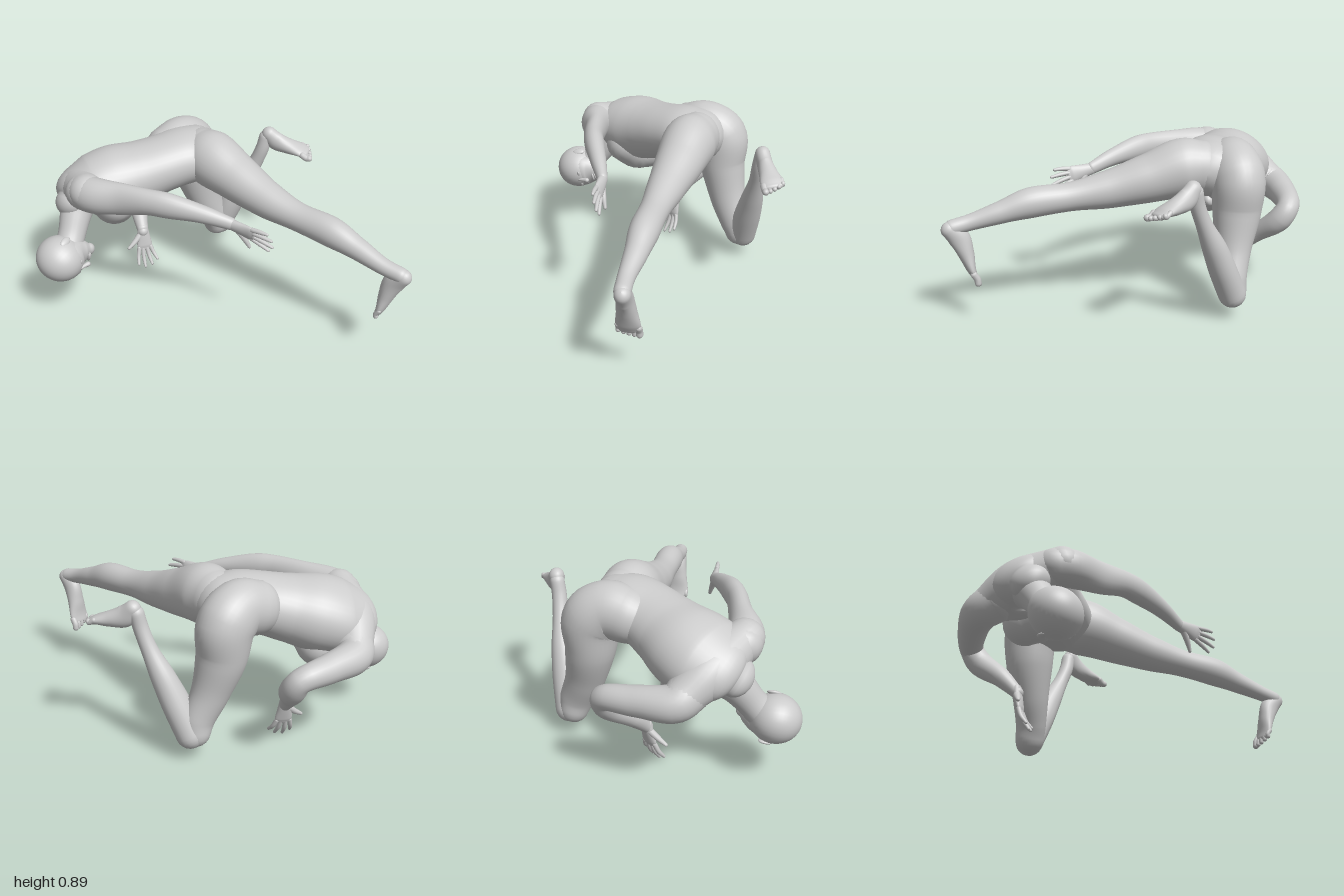
import * as THREE from 'three';

const V = (p) => new THREE.Vector3(p[0], p[1], p[2]);
const material = new THREE.MeshStandardMaterial({ color: 0xcccccc });

// Smooth tube with rounded ends; rows are [x, y, z, halfWidth, halfDepth]
function loft(name, rows, side0 = [0.1, 0.2, 1], side1 = side0, seg = 24, per = 7) {
  const path = new THREE.CatmullRomCurve3(rows.map(V), false, 'centripetal');
  const size = new THREE.CatmullRomCurve3(
    rows.map((r) => new THREE.Vector3(r[3], r[4] ?? r[3], 0)), false, 'catmullrom', 0.4);
  const steps = (rows.length - 1) * per, caps = 6, pos = [], idx = [];
  const ring = (t, k = 1, push = 0) => {
    const c = path.getPoint(t), T = path.getTangent(t), r = size.getPoint(t);
    const s = V(side0).lerp(V(side1), t);
    s.addScaledVector(T, -s.dot(T)).normalize();
    const n = T.clone().cross(s);
    c.addScaledVector(T, push * Math.min(r.x, r.y));
    for (let j = 0; j < seg; j++) {
      const a = (j / seg) * Math.PI * 2;
      const p = c.clone().addScaledVector(s, Math.cos(a) * r.x * k).addScaledVector(n, Math.sin(a) * r.y * k);
      pos.push(p.x, p.y, p.z);
    }
  };
  for (let i = 0; i < caps; i++) {
    const a = (i / caps) * Math.PI / 2;
    ring(0, Math.max(Math.sin(a), 0.01), -Math.cos(a));
  }
  for (let i = 0; i <= steps; i++) ring(i / steps);
  for (let i = caps - 1; i >= 0; i--) {
    const a = (i / caps) * Math.PI / 2;
    ring(1, Math.max(Math.sin(a), 0.01), Math.cos(a));
  }
  const rings = pos.length / 3 / seg;
  for (let i = 0; i < rings - 1; i++) for (let j = 0; j < seg; j++) {
    const a = i * seg + j, b = i * seg + (j + 1) % seg;
    idx.push(a, b, b + seg, a, b + seg, a + seg);
  }
  const g = new THREE.BufferGeometry();
  g.setAttribute('position', new THREE.Float32BufferAttribute(pos, 3));
  g.setIndex(idx);
  g.computeVertexNormals();
  const m = new THREE.Mesh(g, material);
  m.name = name;
  return m;
}

function ellipsoid(name, p, r) {
  const m = new THREE.Mesh(new THREE.SphereGeometry(1, 32, 24), material);
  m.name = name;
  m.position.set(...p);
  m.scale.set(...r);
  return m;
}

// Point reached from p by weighted steps along vectors
const at = (p, ...steps) => {
  const q = p.clone();
  for (const [v, k] of steps) q.addScaledVector(v, k);
  return q.toArray();
};

// Open hand: flat palm, four fanned fingers and a thumb on the "across" side
function hand(name, wristAt, along, thumbSide, bendDir) {
  const g = new THREE.Group();
  g.name = name;
  const w = V(wristAt), d = V(along).normalize(), c = V(thumbSide), bend = V(bendDir);
  c.addScaledVector(d, -c.dot(d)).normalize();
  g.add(loft('palm', [
    [...at(w, [d, -0.02]), 0.031, 0.025], [...at(w, [d, 0.03]), 0.037, 0.022],
    [...at(w, [d, 0.085]), 0.044, 0.017], [...at(w, [d, 0.105]), 0.04, 0.012]], c.toArray()));
  [0.1, 0.118, 0.11, 0.085].forEach((len, i) => {
    const o = 0.033 - 0.022 * i, f = d.clone().addScaledVector(c, 0.27 - 0.18 * i).normalize();
    const b = V(at(w, [d, 0.1], [c, o]));
    g.add(loft('finger', [[...b.toArray(), 0.0125], [...at(b, [f, len * 0.5], [bend, 0.008]), 0.0115],
      [...at(b, [f, len * 0.95], [bend, 0.03]), 0.008]], c.toArray(), c.toArray(), 10, 4));
  });
  g.add(loft('thumb', [[...at(w, [d, 0.02], [c, 0.02]), 0.018], [...at(w, [d, 0.055], [c, 0.058], [bend, 0.01]), 0.015],
    [...at(w, [d, 0.085], [c, 0.1], [bend, 0.02]), 0.009]], d.toArray(), d.toArray(), 10, 4));
  return g;
}

// Foot from heel to toes; top points away from the sole
function foot(name, heel, toe, top, bigToeSide) {
  const g = new THREE.Group();
  g.name = name;
  const h = V(heel), d = V(toe).sub(h), L = d.length();
  d.normalize();
  const u = V(top), c = V(bigToeSide);
  u.addScaledVector(d, -u.dot(d)).normalize();
  c.addScaledVector(d, -c.dot(d)).addScaledVector(u, -c.dot(u)).normalize();
  g.add(loft('sole', [
    [...at(h, [d, 0.02]), 0.039, 0.042], [...at(h, [d, L * 0.25], [u, 0.02]), 0.041, 0.054],
    [...at(h, [d, L * 0.5], [u, 0.01]), 0.049, 0.041], [...at(h, [d, L * 0.73], [u, -0.008]), 0.06, 0.025],
    [...at(h, [d, L * 0.84], [u, -0.012]), 0.055, 0.018]], c.toArray()));
  for (let i = 0; i < 5; i++) {
    const b = V(at(h, [d, L * 0.8 - i * i * 0.0015], [c, 0.047 - 0.024 * i], [u, -0.012]));
    const r = i ? 0.0128 : 0.0175;
    g.add(loft('toe', [[...b.toArray(), r], [...at(b, [d, 0.03], [u, 0.003]), r],
      [...at(b, [d, L * 0.2 - r - i * 0.004], [u, -0.004]), r]], c.toArray(), c.toArray(), 10, 4));
  }
  return g;
}

// Head in its own frame: y to the crown, z to the face
function head() {
  const g = new THREE.Group();
  g.name = 'head';
  g.add(ellipsoid('cranium', [0, 0.012, -0.004], [0.118, 0.124, 0.128]));
  g.add(loft('face', [
    [0, -0.136, 0.074, 0.036, 0.03], [0, -0.112, 0.058, 0.062, 0.052], [0, -0.07, 0.036, 0.09, 0.08],
    [0, -0.02, 0.026, 0.104, 0.093], [0, 0.03, 0.016, 0.1, 0.098]], [1, 0, 0], [1, 0, 0], 32));
  g.add(loft('nose', [[0, 0.005, 0.114, 0.008], [0, -0.03, 0.122, 0.011], [0, -0.052, 0.129, 0.014]], [1, 0, 0], [1, 0, 0], 12, 4));
  g.add(ellipsoid('upperLip', [0, -0.089, 0.106], [0.026, 0.007, 0.011]));
  g.add(ellipsoid('lowerLip', [0, -0.102, 0.101], [0.022, 0.008, 0.011]));
  for (const s of [-1, 1]) {
    g.add(ellipsoid('eye', [s * 0.04, -0.01, 0.11], [0.018, 0.009, 0.007]));
    const ear = ellipsoid('ear', [s * 0.115, -0.015, -0.005], [0.01, 0.034, 0.02]);
    ear.rotation.y = s * -0.35;
    g.add(ear);
  }
  const up = V([0.02, -0.16, 0.99]).normalize(), face = V([0.93, -0.35, -0.05]);
  face.addScaledVector(up, -face.dot(up)).normalize();
  g.quaternion.setFromRotationMatrix(new THREE.Matrix4().makeBasis(up.clone().cross(face), up, face));
  g.position.set(-0.72, 0.334, 0.553);
  return g;
}

export function createModel() {
  const model = new THREE.Group();
  model.name = 'bendingFigure';

  // Trunk, twisting from level hips to tilted shoulders
  model.add(loft('torso', [
    [-0.36, 0.72, -0.19, 0.18, 0.145], [-0.4, 0.72, -0.13, 0.19, 0.15],
    [-0.465, 0.7, -0.03, 0.18, 0.15], [-0.545, 0.67, 0.06, 0.188, 0.163], [-0.645, 0.64, 0.16, 0.212, 0.182],
    [-0.72, 0.62, 0.25, 0.215, 0.168], [-0.77, 0.6, 0.33, 0.178, 0.125], [-0.775, 0.57, 0.38, 0.1, 0.08]],
  [0.84, 0, 0.54], [0.7, 0.43, 0.57], 40));
  model.add(loft('shoulderGirdle', [[-0.9, 0.515, 0.14, 0.088], [-0.79, 0.61, 0.27, 0.118], [-0.63, 0.69, 0.41, 0.094]]));
  model.add(loft('chest', [[-0.69, 0.485, 0.14, 0.108], [-0.64, 0.51, 0.19, 0.118], [-0.585, 0.56, 0.25, 0.108]]));
  model.add(loft('neck', [[-0.76, 0.57, 0.33, 0.105], [-0.745, 0.5, 0.39, 0.083], [-0.73, 0.42, 0.45, 0.073], [-0.72, 0.36, 0.5, 0.075]]));
  model.add(head());

  // Arms
  model.add(loft('leftArm', [
    [-0.66, 0.675, 0.4, 0.095], [-0.58, 0.685, 0.415, 0.088, 0.096], [-0.42, 0.7, 0.39, 0.06, 0.087],
    [-0.27, 0.718, 0.37, 0.053, 0.07], [-0.17, 0.715, 0.345, 0.053, 0.068], [0, 0.69, 0.29, 0.042, 0.047],
    [0.13, 0.655, 0.245, 0.028, 0.034]], [0, 0, 1]));
  model.add(hand('leftHand', [0.155, 0.648, 0.243], [0.98, -0.17, -0.01], [0.1, -1, -0.25], [0, -0.2, -0.1]));
  model.add(loft('rightArm', [
    [-0.86, 0.54, 0.18, 0.1], [-0.91, 0.5, 0.12, 0.09], [-0.885, 0.485, -0.05, 0.073], [-0.825, 0.46, -0.21, 0.06],
    [-0.78, 0.395, -0.205, 0.064], [-0.7, 0.29, -0.1, 0.048], [-0.635, 0.2, -0.04, 0.031]], [0.9, 0.3, 0.3]));
  model.add(hand('rightHand', [-0.635, 0.2, -0.04], [0.16, -0.93, 0.12], [-0.65, 0.1, 0.75], [0.8, 0.25, 0.4]));

  // Left leg stretched sideways
  model.add(loft('leftLeg', [
    [-0.31, 0.73, -0.19, 0.13, 0.14], [-0.22, 0.725, -0.16, 0.145, 0.155], [-0.05, 0.68, -0.125, 0.126],
    [0.15, 0.632, -0.085, 0.098], [0.35, 0.605, -0.055, 0.074], [0.55, 0.59, -0.035, 0.074, 0.078],
    [0.7, 0.552, -0.02, 0.057], [0.85, 0.512, 0, 0.042], [0.94, 0.495, 0.002, 0.04]], [0, 0, 1], [0, 0, 1], 32));
  model.add(foot('leftFoot', [0.966, 0.505, 0], [0.815, 0.195, -0.01], [-0.9, 0.42, 0], [0, 0, -1]));

  // Right leg: buttock flows from the loin, thigh down to the knee, shin folded back up
  model.add(loft('rightThigh', [
    [-0.5, 0.72, -0.14, 0.13, 0.135], [-0.475, 0.732, -0.23, 0.135, 0.145], [-0.465, 0.68, -0.31, 0.138, 0.15],
    [-0.455, 0.52, -0.33, 0.125], [-0.42, 0.33, -0.37, 0.093, 0.1], [-0.39, 0.2, -0.42, 0.078, 0.088],
    [-0.385, 0.135, -0.44, 0.076]], [1, 0, 0], [1, 0, 0], 32));
  model.add(loft('rightShin', [
    [-0.375, 0.128, -0.465, 0.072], [-0.31, 0.27, -0.485, 0.07, 0.074], [-0.25, 0.4, -0.508, 0.062],
    [-0.175, 0.55, -0.53, 0.041], [-0.135, 0.65, -0.54, 0.038], [-0.12, 0.72, -0.55, 0.037]], [1, 0, 0]));
  model.add(foot('rightFoot', [-0.12, 0.75, -0.55], [0.135, 0.62, -0.635], [-0.4, -0.9, 0], [0.2, 0, 1]));
  return model;
}
